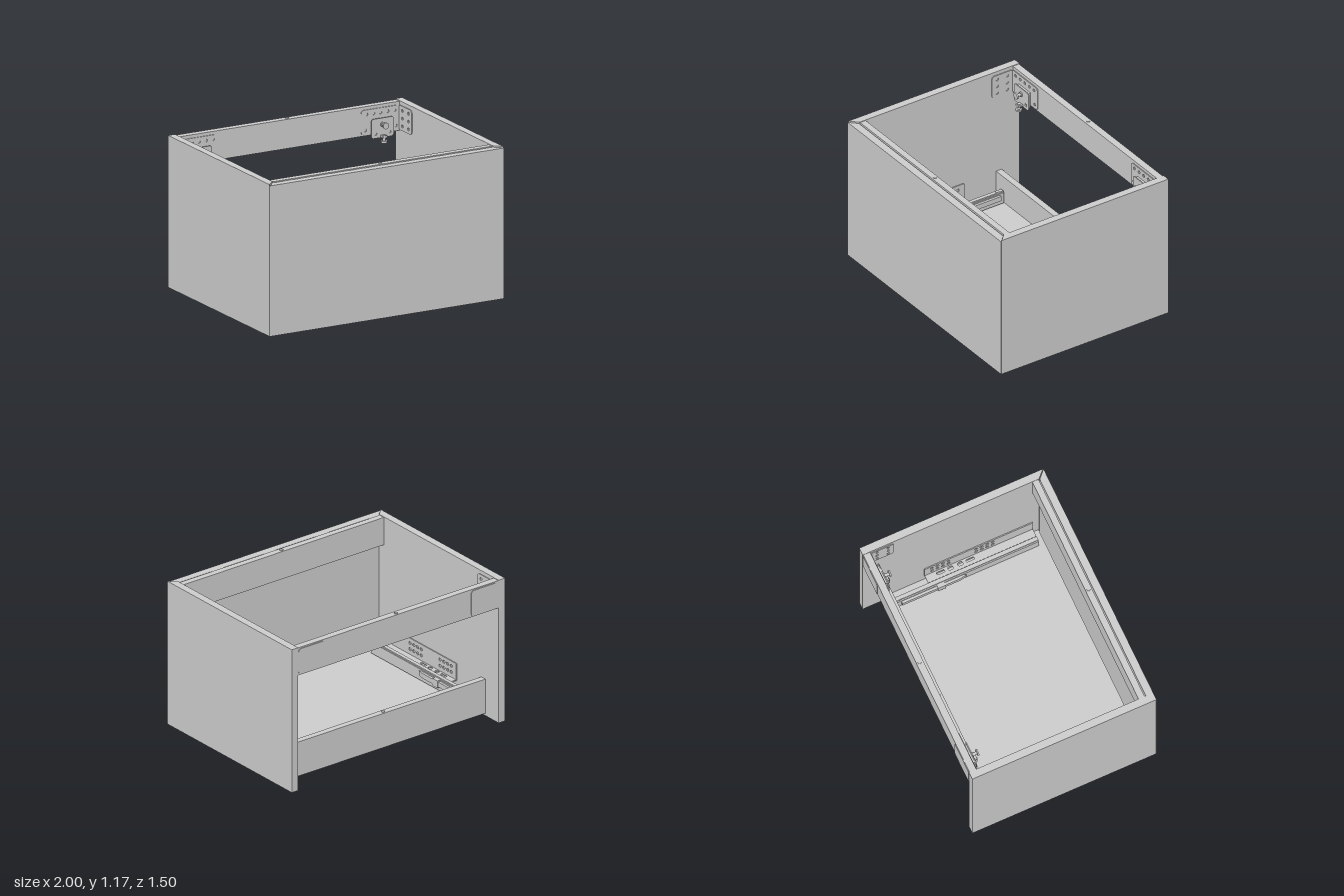
import * as THREE from 'three';

const material = new THREE.MeshStandardMaterial({ color: 0xcccccc, flatShading: true });
const smooth = new THREE.MeshStandardMaterial({ color: 0xcccccc });

export function createModel() {
  const model = new THREE.Group();
  model.name = 'drawerCabinet';

  const add = (name, geometry, mat = material) => {
    const mesh = new THREE.Mesh(geometry, mat);
    mesh.name = name;
    model.add(mesh);
    return mesh;
  };

  // Box given by its limits on each axis
  const box = (name, x0, x1, y0, y1, z0, z1) => {
    const g = new THREE.BoxGeometry(Math.abs(x1 - x0), y1 - y0, z1 - z0);
    g.translate((x0 + x1) / 2, (y0 + y1) / 2, (z0 + z1) / 2);
    return add(name, g);
  };

  // Upright prism over an outline of [x, z] points
  const prism = (name, points, y0, y1) => {
    const shape = new THREE.Shape(points.map(([x, z]) => new THREE.Vector2(x, -z)));
    const g = new THREE.ExtrudeGeometry(shape, { depth: y1 - y0, bevelEnabled: false });
    g.rotateX(-Math.PI / 2).translate(0, y0, 0);
    return add(name, g);
  };

  // Flat sheet with rounded corners and round or slotted holes [x, y, width, height]
  const sheet = (w, h, t, r, holes = []) => {
    const path = (P, cx, cy, pw, ph, pr) => {
      const p = new P(), a = pw / 2, b = ph / 2;
      p.moveTo(cx - a + pr, cy - b);
      p.lineTo(cx + a - pr, cy - b);
      p.absarc(cx + a - pr, cy - b + pr, pr, -Math.PI / 2, 0);
      p.lineTo(cx + a, cy + b - pr);
      p.absarc(cx + a - pr, cy + b - pr, pr, 0, Math.PI / 2);
      p.lineTo(cx - a + pr, cy + b);
      p.absarc(cx - a + pr, cy + b - pr, pr, Math.PI / 2, Math.PI);
      p.lineTo(cx - a, cy - b + pr);
      p.absarc(cx - a + pr, cy - b + pr, pr, Math.PI, Math.PI * 1.5);
      return p;
    };
    const shape = path(THREE.Shape, 0, 0, w, h, r);
    for (const [x, y, hw, hh] of holes) {
      shape.holes.push(path(THREE.Path, x, y, hw, hh, Math.min(hw, hh) * 0.48));
    }
    return new THREE.ExtrudeGeometry(shape, { depth: t, bevelEnabled: false, curveSegments: 5 });
  };

  // Round pin along an axis
  const pin = (name, r, length, x, y, z, axis = 'y') => {
    const g = new THREE.CylinderGeometry(r, r, length, 20);
    if (axis === 'z') g.rotateX(Math.PI / 2);
    add(name, g, smooth).position.set(x, y, z);
  };

  // Carcass: mitred front, floor and cross rails
  prism('frontPanel', [[-1, 0.75], [1, 0.75], [0.94, 0.69], [-0.94, 0.69]], 0, 1.16);
  box('floor', -0.94, 0.94, 0.02, 0.08, -0.59, 0.68);
  box('frontRail', -0.94, 0.94, 0.94, 1.165, 0.63, 0.68);
  box('backTopRail', -0.94, 0.94, 0.94, 1.165, -0.745, -0.69);
  box('backLowerRail', -0.94, 0.94, 0.02, 0.3, -0.59, -0.54);

  // Dowels in the top edges of the rails
  for (const [y, z] of [[1.165, -0.72], [0.3, -0.565], [1.165, 0.655]]) {
    pin('railDowel', 0.014, 0.01, 0, y, z);
  }

  for (const s of [1, -1]) {
    prism('sidePanel', [[s, -0.75], [s, 0.745], [s * 0.94, 0.685], [s * 0.94, -0.75]], 0, 1.17);

    // Drawer runner with its inner rail and catch
    box('runner', s * 0.82, s * 0.865, 0.09, 0.18, -0.53, 0.63);
    box('runnerTop', s * 0.83, s * 0.86, 0.18, 0.19, -0.53, 0.63);
    box('runnerLever', s * 0.8, s * 0.82, 0.13, 0.17, -0.49, -0.02);
    box('runnerCatch', s * 0.795, s * 0.82, 0.12, 0.18, -0.2, -0.14);
    prism('leverTip', [[s * 0.8, -0.02], [s * 0.82, -0.02], [s * 0.82, 0.02], [s * 0.81, 0.04]], 0.13, 0.17);
    box('runnerTab', s * 0.83, s * 0.85, 0.19, 0.194, -0.5, -0.47);

    // Angle bracket holding the runner to the side wall
    const wallHoles = [];
    for (const start of [-0.38, -0.02]) {
      for (let i = 0; i < 4; i++) {
        for (const y of [-0.02, 0.03]) wallHoles.push([start + i * 0.045, y, 0.028, 0.022]);
      }
    }
    const wall = sheet(0.88, 0.14, 0.008, 0.005, wallHoles);
    wall.rotateY(-Math.PI / 2);
    add('runnerWallPlate', wall).position.set(s > 0 ? 0.94 : -0.932, 0.23, 0.19);
    const flangeHoles = [-0.13, -0.05, 0.03, 0.11].map((z, i) =>
      [s * 0.003, 0.19 - z, i % 3 ? 0.028 : 0.02, i % 3 ? 0.04 : 0.065]);
    const flange = sheet(0.07, 0.88, 0.008, 0.004, flangeHoles);
    flange.rotateX(-Math.PI / 2);
    add('runnerFlange', flange).position.set(s * 0.905, 0.16, 0.19);

    // Wall hanger: plates on rail, side and back
    const railHoles = [];
    for (const x of [-0.12, -0.06, 0, 0.06, 0.12]) railHoles.push([x, 0.06, 0.024, 0.024]);
    railHoles.push([0.13, -0.06, 0.024, 0.024], [-0.13, -0.06, 0.024, 0.024]);
    add('hangerRailPlate', sheet(0.33, 0.19, 0.007, 0.025, railHoles)).position.set(s * 0.775, 1.045, -0.69);
    const sideHoles = [-0.06, 0, 0.06].flatMap((y) => [[-0.04, y, 0.024, 0.024], [0.05, y, 0.024, 0.024]]);
    const sidePlate = sheet(0.19, 0.19, 0.007, 0.025, sideHoles);
    sidePlate.rotateY(-Math.PI / 2);
    add('hangerSidePlate', sidePlate).position.set(s > 0 ? 0.94 : -0.933, 1.045, -0.595);
    add('hangerBackPlate', sheet(0.25, 0.21, 0.005, 0.025)).position.set(s * 0.81, 1.05, -0.75);

    // Hanger body with its depth bolt and height screw
    add('hangerBody', sheet(0.19, 0.15, 0.008, 0.02,
      [[-0.06, -0.04, 0.024, 0.024], [0.06, -0.04, 0.024, 0.024]])).position.set(s * 0.775, 0.995, -0.66);
    box('hangerCore', s * 0.7, s * 0.85, 0.93, 1.06, -0.683, -0.66);
    pin('depthBolt', 0.012, 0.06, s * 0.775, 1.02, -0.63, 'z');
    pin('depthBoltHead', 0.025, 0.012, s * 0.775, 1.02, -0.606, 'z');
    pin('depthBoltCollar', 0.02, 0.012, s * 0.775, 1.02, -0.648, 'z');
    pin('heightScrew', 0.012, 0.05, s * 0.775, 0.92, -0.63);
    pin('heightScrewHead', 0.025, 0.014, s * 0.775, 0.893, -0.63);
    box('heightScrewTab', s * 0.755, s * 0.795, 0.925, 0.94, -0.655, -0.615);
  }
  return model;
}
